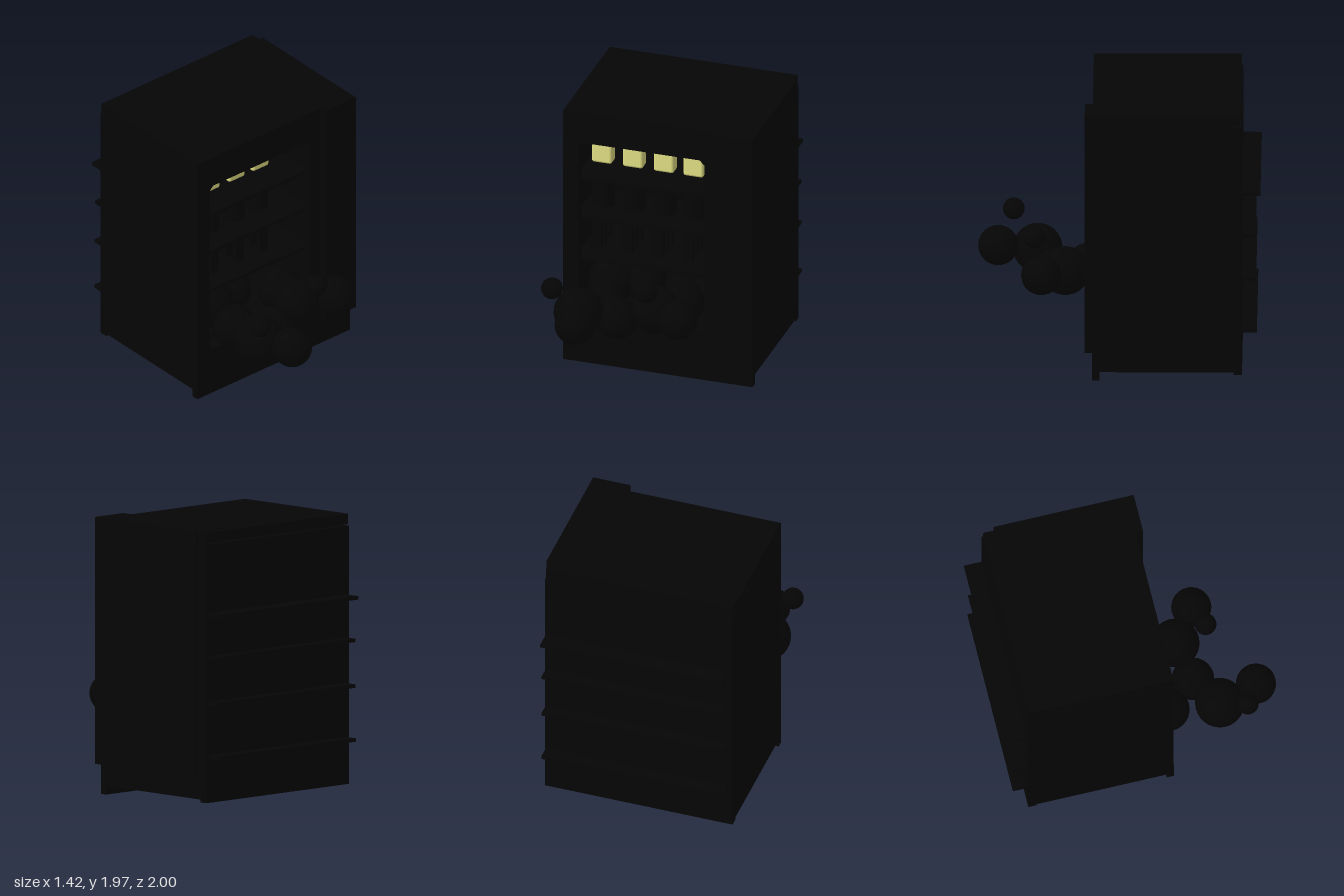
import * as THREE from 'three';
import { RoundedBoxGeometry } from 'three/addons/geometries/RoundedBoxGeometry.js';

const dark = new THREE.MeshStandardMaterial({ color: 0x050505 });
const yellow = new THREE.MeshStandardMaterial({ color: 0xe3e184 });

function add(parent, name, geometry, x, y, z, material = dark) {
  const mesh = new THREE.Mesh(geometry, material);
  mesh.name = name;
  mesh.position.set(x, y, z);
  parent.add(mesh);
  return mesh;
}

// Box given by its lower and upper limits
function block(parent, name, [x0, x1], [y0, y1], [z0, z1]) {
  return add(parent, name, new THREE.BoxGeometry(x1 - x0, y1 - y0, z1 - z0),
    (x0 + x1) / 2, (y0 + y1) / 2, (z0 + z1) / 2);
}

// Front panel with a window whose corners are cut
function frontFrame() {
  const outline = [[-0.71, 0.01], [0.69, 0.01], [0.69, 1.96], [-0.71, 1.96]];
  const x0 = -0.595, x1 = 0.34, y0 = 0.36, y1 = 1.73, c = 0.035;
  const window = [
    [x0 + c, y0], [x0, y0 + c], [x0, y1 - c], [x0 + c, y1],
    [x1 - c, y1], [x1, y1 - c], [x1, y0 + c], [x1 - c, y0],
  ];
  const points = (list) => list.map(([x, y]) => new THREE.Vector2(x, y));
  const shape = new THREE.Shape(points(outline));
  shape.holes.push(new THREE.Path(points(window)));
  return new THREE.ExtrudeGeometry(shape, { depth: 0.05, bevelEnabled: false });
}

export function createModel() {
  const model = new THREE.Group();
  model.name = 'vendingMachine';

  // Cabinet shell
  const cabinet = new THREE.Group();
  cabinet.name = 'cabinet';
  model.add(cabinet);
  block(cabinet, 'leftSideOfFrontWall', [-0.71, -0.66], [0.06, 1.88], [-0.86, 0.14]);
  block(cabinet, 'controlColumn', [0.43, 0.71], [0.21, 1.97], [-0.78, 0.24]);
  block(cabinet, 'rightLowerWall', [0.64, 0.69], [0.06, 1.88], [-0.82, 0.14]);
  block(cabinet, 'topPanel', [-0.71, 0.685], [1.89, 1.965], [-0.86, 0.18]);
  block(cabinet, 'bottomPanel', [-0.71, 0.69], [0.06, 0.11], [-0.82, 0.14]);
  block(cabinet, 'backPanel', [-0.71, 0.69], [0.04, 1.88], [-0.87, -0.81]);
  block(cabinet, 'kickPlate', [-0.71, 0.7], [0, 0.21], [0.135, 0.188]);
  add(cabinet, 'frontFrame', frontFrame(), 0, 0, 0.135);

  // Shelves run through the back panel
  const shelves = new THREE.Group();
  shelves.name = 'shelves';
  model.add(shelves);
  [[1.382, -1.0], [1.075, -0.967], [0.75, -0.97], [0.366, -0.975]].forEach(([y, back]) =>
    block(shelves, 'shelf', [-0.68, 0.68], [y - 0.012, y + 0.012], [back, 0.06]));

  // Goods in four columns, two rows deep
  const goods = new THREE.Group();
  goods.name = 'goods';
  model.add(goods);
  const packet = new RoundedBoxGeometry(0.15, 0.3, 0.1, 3, 0.02);
  const can = new THREE.CylinderGeometry(0.08, 0.08, 0.21, 32);
  const bar = new THREE.BoxGeometry(0.07, 0.23, 0.04);
  const columns = [-0.53, -0.3, -0.07, 0.15];
  for (const x of columns) {
    for (const z of [-0.18, -0.45]) {
      add(goods, 'packet', packet, x, 1.57, z, yellow);
      add(goods, 'can', can, x, 1.195, z);
    }
    for (const z of [-0.1, -0.2, -0.3]) add(goods, 'bar', bar, x - 0.02, 0.885, z);
  }

  // Balls piled on the bottom shelf and spilling out: x, y, z, radius
  const balls = new THREE.Group();
  balls.name = 'spillingBalls';
  model.add(balls);
  [
    [-0.39, 0.5, 0.22, 0.155], [-0.22, 0.525, 0.445, 0.15], [0.045, 0.6, 0.38, 0.172],
    [0.265, 0.64, 0.55, 0.142], [0.045, 0.845, 0.6, 0.077], [-0.465, 0.6, 0.58, 0.175],
    [-0.605, 0.845, 0.75, 0.077], [-0.4, 0.64, 0.858, 0.142],
    [-0.41, 0.58, -0.02, 0.17], [-0.18, 0.57, -0.08, 0.15], [0.14, 0.53, 0.08, 0.16],
  ].forEach(([x, y, z, r]) =>
    add(balls, 'ball', new THREE.SphereGeometry(r, 32, 20), x, y, z));

  return model;
}
